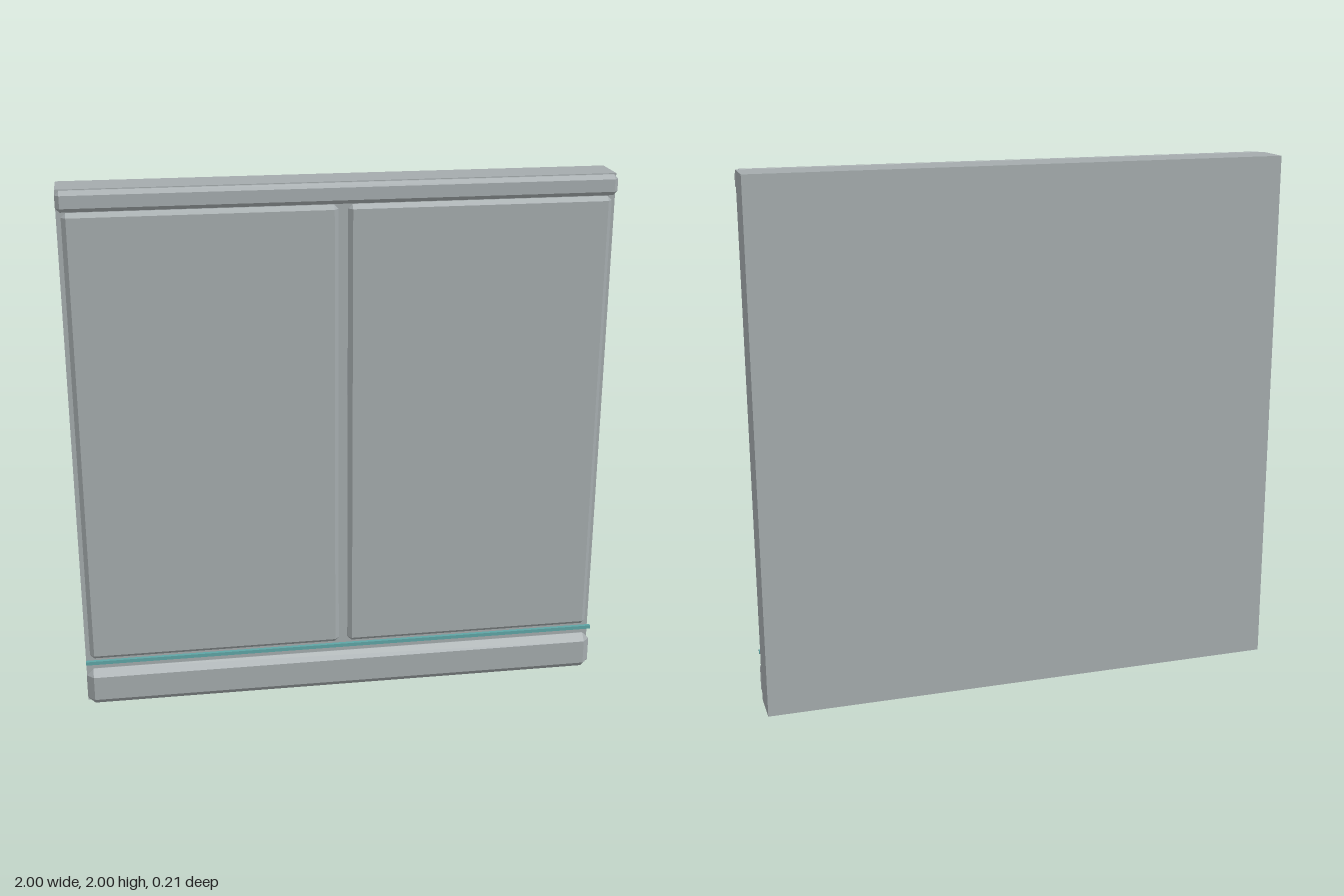
import * as THREE from 'three';
import { ConvexGeometry } from 'three/addons/geometries/ConvexGeometry.js';

// Box with every edge and corner cut off by b
function chamferBox(w, h, d, b) {
  const half = [w / 2, h / 2, d / 2];
  const points = [];
  for (const sx of [-1, 1]) for (const sy of [-1, 1]) for (const sz of [-1, 1]) {
    for (let full = 0; full < 3; full++) {
      const p = [sx, sy, sz].map((s, i) => s * (half[i] - (i === full ? 0 : b)));
      points.push(new THREE.Vector3(...p));
    }
  }
  return new ConvexGeometry(points);
}

export function createModel() {
  const model = new THREE.Group();
  model.name = 'wallPanel';
  const grey = new THREE.MeshStandardMaterial({ color: 0xa4abad });
  grey.name = 'wall grey';
  const teal = new THREE.MeshStandardMaterial({ color: 0x5fa5a5 });
  teal.name = 'strip teal';

  // Places a box by its limits on each axis, chamfered when b is given
  function block(name, [x0, x1], [y0, y1], [z0, z1], material, b = 0) {
    const size = [x1 - x0, y1 - y0, z1 - z0];
    const geometry = b ? chamferBox(...size, b) : new THREE.BoxGeometry(...size);
    const mesh = new THREE.Mesh(geometry, material);
    mesh.name = name;
    mesh.position.set((x0 + x1) / 2, (y0 + y1) / 2, (z0 + z1) / 2);
    model.add(mesh);
  }

  const face = 0.047; // front of the wall slab
  block('wallSlab', [-1, 1], [0, 2], [-0.103, face], grey);

  // Pair of raised panels
  block('leftPanel', [0.017, 0.983], [0.19, 1.922], [face, 0.081], grey, 0.016);
  block('rightPanel', [-0.983, -0.017], [0.19, 1.922], [face, 0.081], grey, 0.016);

  // Rails along the top and the foot
  block('topTrim', [-1, 1], [1.925, 2], [face, 0.086], grey, 0.015);
  block('baseboard', [-1, 1], [0.002, 0.152], [face, 0.103], grey, 0.027);

  // Thin strip standing off the wall above the baseboard
  block('accentStrip', [-1, 1], [0.174, 0.188], [0.076, 0.089], teal);

  return model;
}
